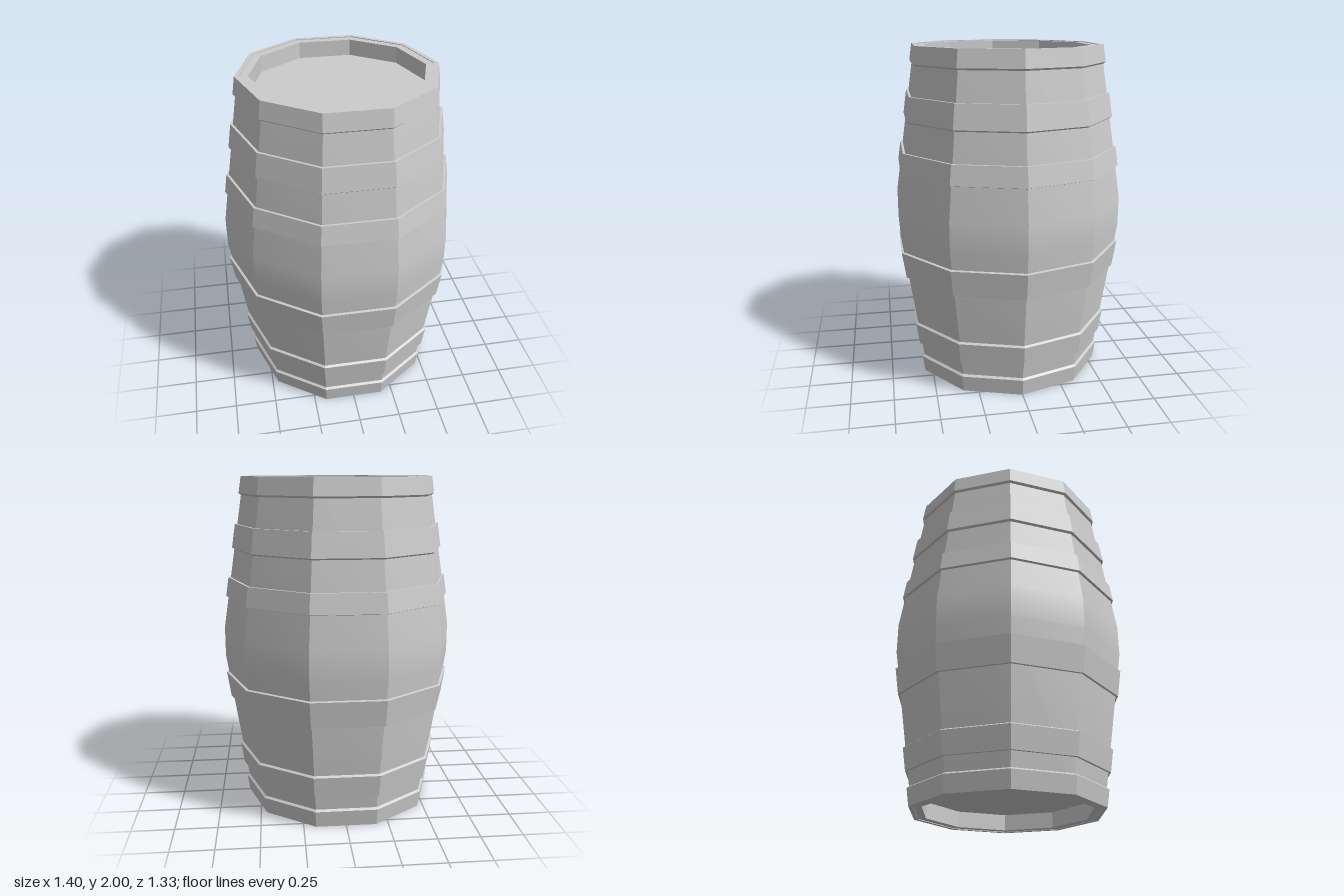
import * as THREE from 'three';
import { toCreasedNormals } from 'three/addons/utils/BufferGeometryUtils.js';

const SIDES = 10;
const CREASE = THREE.MathUtils.degToRad(20);
const material = new THREE.MeshStandardMaterial({ color: 0xcccccc });

// Stave radius: straight taper on both ends, straight belly in the middle
const bodyRadius = (y) => 0.7 - 0.154 * Math.max(0, Math.abs(y - 1) - 0.09);

// Ten-sided turned part with a corner on the x axis; profile runs bottom to top outside
function turned(name, profile) {
  const points = profile.map(([r, y]) => new THREE.Vector2(r, y));
  const lathe = new THREE.LatheGeometry(points, SIDES, Math.PI / 2);
  const mesh = new THREE.Mesh(toCreasedNormals(lathe, CREASE), material);
  mesh.name = name;
  return mesh;
}

// Closed iron band; bevels slope its lower and upper edges into the staves
function hoop(name, y0, y1, bevelLow, bevelHigh) {
  const t = 0.015, sink = 0.012;
  const a = bodyRadius(y0), b = bodyRadius(y1);
  return turned(name, [
    [a - sink, y0 - bevelLow],
    [a, y0 - bevelLow],
    [a + t, y0],
    [b + t, y1],
    [b, y1 + bevelHigh],
    [b - sink, y1 + bevelHigh],
    [a - sink, y0 - bevelLow],
  ]);
}

export function createModel() {
  const group = new THREE.Group();
  group.name = 'barrel';

  // Staves with recessed heads at both ends
  const inner = 0.5, depth = 0.1, end = 0.004;
  group.add(turned('staves', [
    [0, depth],
    [inner, depth],
    [inner, end],
    [bodyRadius(end), end],
    [0.7, 0.91],
    [0.7, 1.09],
    [bodyRadius(2 - end), 2 - end],
    [inner, 2 - end],
    [inner, 2 - depth],
    [0, 2 - depth],
  ]));

  // Hoops from bottom to top
  const hoops = [
    ['bottomRimHoop', 0, 0.1, 0, 0.012],
    ['lowerHoop', 0.195, 0.327, 0, 0.01],
    ['lowerBellyHoop', 0.645, 0.802, 0, 0.005],
    ['upperBellyHoop', 1.285, 1.4, 0.005, 0],
    ['upperHoop', 1.58, 1.72, 0.01, 0],
    ['topRimHoop', 1.9, 2, 0.012, 0],
  ];
  for (const h of hoops) group.add(hoop(...h));

  return group;
}
